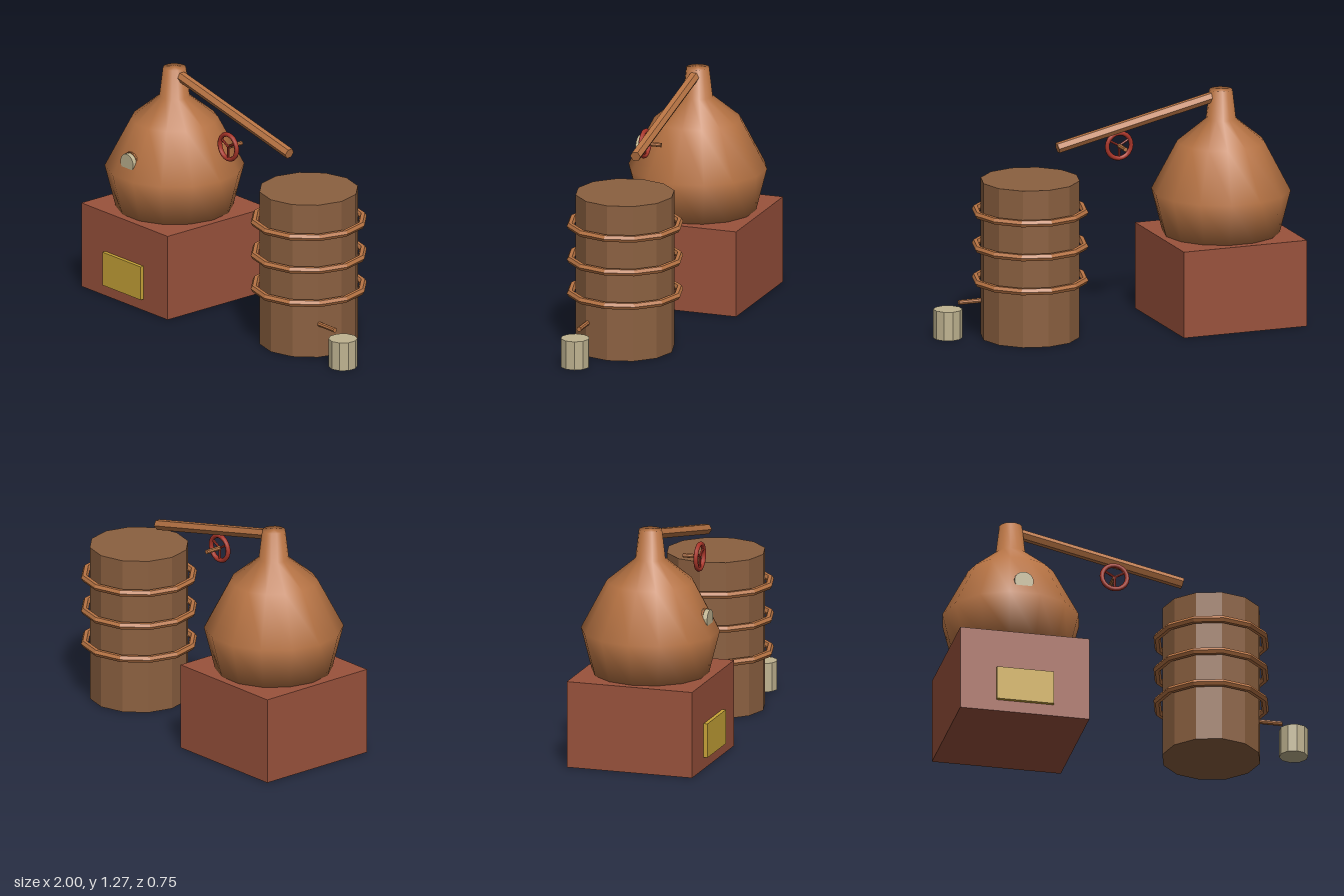
import * as THREE from 'three';

function material(name, color) {
  const m = new THREE.MeshStandardMaterial({ color });
  m.name = name;
  return m;
}

// Give every face its own normal
function faceted(geometry) {
  const g = geometry.toNonIndexed();
  g.computeVertexNormals();
  return g;
}

export function createModel() {
  const copper = material('copper', 0xb87444);
  const wood = material('wood', 0x8b6040);
  const brick = material('brick', 0x9a523c);
  const brass = material('brass', 0xc8a438);
  const pale = material('pale', 0xbfb390);
  const red = material('red', 0xa83428);

  const model = new THREE.Group();
  model.name = 'still';
  const Z = -0.004; // main axis depth
  const potX = -0.621;
  const barrelX = 0.492;

  function add(name, geometry, mat, x, y, z, parent = model) {
    const mesh = new THREE.Mesh(geometry, mat);
    mesh.name = name;
    mesh.position.set(x, y, z);
    parent.add(mesh);
    return mesh;
  }
  const cylinder = (r, h, sides) => faceted(new THREE.CylinderGeometry(r, r, h, sides));

  // Furnace with its door
  add('furnace', new THREE.BoxGeometry(0.716, 0.48, 0.716), brick, potX, 0.24, Z);
  add('furnaceDoor', new THREE.BoxGeometry(0.317, 0.19, 0.04), brass, potX, 0.16, 0.355);

  // Pot and neck in one turned shape
  const profile = [
    [0, 0.475], [0.318, 0.475], [0.379, 0.716], [0.237, 0.986],
    [0.082, 1.113], [0.063, 1.275], [0, 1.275],
  ].map(([r, y]) => new THREE.Vector2(r, y));
  add('pot', new THREE.LatheGeometry(profile, 14).rotateY(Math.PI / 2), copper, potX, 0, Z);

  // Sight glass, half sunk into the pot
  add('sightGlassRim', cylinder(0.058, 0.01, 14).rotateX(Math.PI / 2), copper, potX, 0.8, 0.307);
  add('sightGlass', cylinder(0.053, 0.06, 14).rotateX(Math.PI / 2), pale, potX, 0.8, 0.307);

  // Sloping pipe
  const start = new THREE.Vector3(-0.6, 1.243, Z);
  const end = new THREE.Vector3(0.333, 1.034, Z);
  const slope = Math.atan2(end.y - start.y, end.x - start.x);
  const mid = start.clone().lerp(end, 0.5);
  const pipe = add('pipe', cylinder(0.03, start.distanceTo(end), 6), copper, mid.x, mid.y, mid.z);
  pipe.rotation.z = slope - Math.PI / 2;

  // Valve: wheel, three spokes and stem
  const valve = new THREE.Group();
  valve.name = 'valve';
  valve.position.set(-0.065, 0.988, 0.091);
  model.add(valve);
  add('valveRim', new THREE.TorusGeometry(0.07, 0.013, 8, 20), red, 0, 0, 0, valve);
  for (let i = 0; i < 3; i++) {
    const a = Math.PI / 6 + (i * Math.PI * 2) / 3;
    const spoke = add('valveSpoke', cylinder(0.007, 0.07, 6), red,
      Math.cos(a) * 0.035, Math.sin(a) * 0.035, 0, valve);
    spoke.rotation.z = a - Math.PI / 2;
  }
  add('valveStem', cylinder(0.0125, 0.095, 8).rotateX(Math.PI / 2), copper, 0, 0, -0.0475, valve);

  // Condenser barrel and its hoops
  add('barrel', cylinder(0.271, 0.875, 12), wood, barrelX, 0.4375, Z);
  for (const y of [0.32, 0.51, 0.7]) {
    const hoop = new THREE.TorusGeometry(0.3, 0.02, 6, 12).rotateX(Math.PI / 2);
    add('hoop', faceted(hoop), copper, barrelX, y, Z);
  }

  // Spout and collecting bucket
  add('spout', cylinder(0.0135, 0.13, 8).rotateZ(Math.PI / 2), copper, 0.793, 0.19, 0.124);
  add('bucket', cylinder(0.079, 0.16, 10), pale, 0.922, 0.08, 0.122);

  return model;
}
